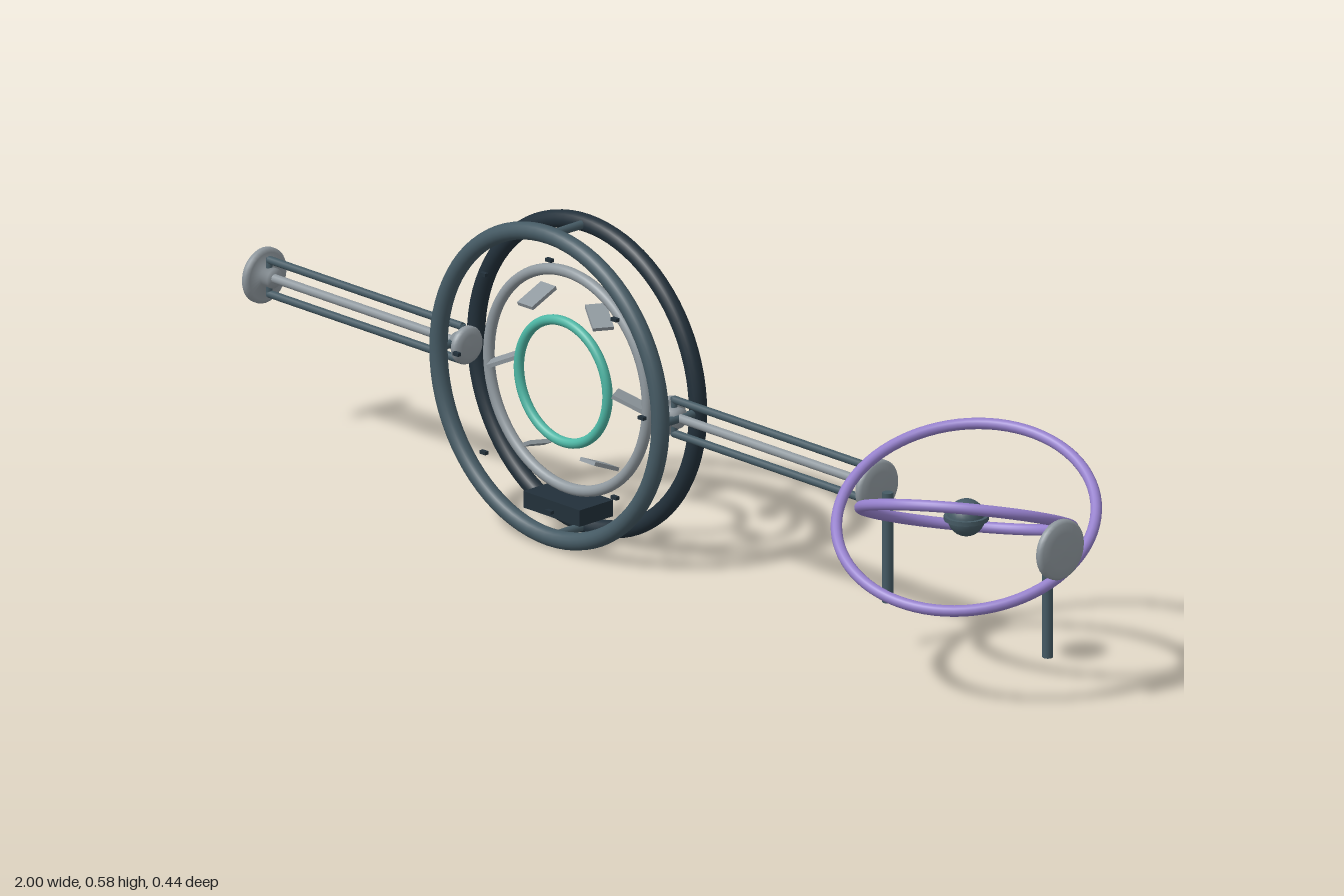
import * as THREE from 'three';

export function createModel() {
  const root = new THREE.Group();
  const mat = (name, color) => {
    const m = new THREE.MeshStandardMaterial({ color });
    m.name = name;
    return m;
  };
  const slate = mat('slate', 0x455a64);
  const dark = mat('dark hull', 0x22303a);
  const gray = mat('light metal', 0x90999f);
  const teal = mat('teal', 0x4db6a4);
  const purple = mat('purple', 0x9580cc);

  const CY = 0.294; // height of the main axis
  const CX = -0.233; // centre of the big wheel
  const OX = 0.755; // centre of the orbit cluster

  const add = (name, geo, material, x, y, z, parent = root) => {
    const m = new THREE.Mesh(geo, material);
    m.name = name;
    m.position.set(x, y, z);
    parent.add(m);
    return m;
  };
  const torus = (R, r) => new THREE.TorusGeometry(R, r, 16, 80);
  const rod = (r, len) => new THREE.CylinderGeometry(r, r, len, 16);

  // Big wheel: front and back rims, inner ring, glowing ring
  add('frontRim', torus(0.2755, 0.0158), slate, CX, CY, 0.045);
  add('backRim', torus(0.2755, 0.0158), dark, CX, CY, -0.045);
  add('innerRing', torus(0.197, 0.01), gray, CX, CY, 0);
  add('coreRing', torus(0.11, 0.009), teal, CX, CY, 0.012);

  // Cross struts joining the two rims
  for (let i = 0; i < 4; i++) {
    const a = (i * Math.PI) / 2;
    add('rimStrut', rod(0.0075, 0.09), slate,
      CX + 0.276 * Math.cos(a), CY + 0.276 * Math.sin(a), 0).rotation.x = Math.PI / 2;
  }

  // Six tilted plates floating around the core ring
  for (let i = 0; i < 6; i++) {
    const a = (i * Math.PI) / 3;
    add('floatingPlate', new THREE.BoxGeometry(0.062, 0.007, 0.037), gray,
      CX + 0.155 * Math.cos(a), CY + 0.155 * Math.sin(a), 0)
      .rotation.set(0, Math.PI / 6 - a, -0.4);
  }

  // Small markers near the front rim
  for (let i = 0; i < 8; i++) {
    const a = (i * Math.PI) / 4;
    add('marker', new THREE.BoxGeometry(0.014, 0.006, 0.008), dark,
      CX + 0.23 * Math.cos(a), CY + 0.23 * Math.sin(a), 0.045);
  }

  // Control box at the foot of the wheel
  add('controlBox', new THREE.BoxGeometry(0.14, 0.03, 0.08), dark, CX, 0.068, 0);

  // Domed docking cap: tip at x, facing dir along the x axis
  const cap = (name, x, r, dir) => {
    const pts = [[0, -0.038], [0.018, -0.038], [0.018, -0.021], [r * 0.85, -0.021],
      [r, -0.016], [r, -0.009], [r * 0.9, -0.004], [r * 0.6, -0.001], [0, 0]];
    const geo = new THREE.LatheGeometry(pts.map(p => new THREE.Vector2(...p)), 32);
    add(name, geo, gray, x, CY, 0).rotation.z = -dir * Math.PI / 2;
  };
  cap('leftwardEndCap', -1, 0.05, -1);
  cap('wheelCap', CX - 0.24, 0.034, 1);
  cap('wheelCap', CX + 0.24, 0.034, -1);
  cap('orbitCap', 0.545, 0.048, 1);
  cap('outerEndCap', 1, 0.054, 1);

  // Arms: a centre tube between two rails
  for (const [x0, x1] of [[-0.975, -0.495], [0.03, 0.515]]) {
    const arm = new THREE.Group();
    arm.name = 'arm';
    root.add(arm);
    for (const [dy, r, m] of [[0.031, 0.007, slate], [0, 0.008, gray], [-0.031, 0.007, slate]]) {
      add('armRail', rod(r, x1 - x0), m, (x0 + x1) / 2, CY + dy, 0, arm).rotation.z = Math.PI / 2;
    }
    for (const x of [x0, x1]) add('armBrace', rod(0.006, 0.07), slate, x, CY, 0, arm);
  }

  // Orbit rings: planes y = a*x + b*z
  const up = new THREE.Vector3(0, 0, 1);
  for (const [R, a, b] of [[0.225, -0.28, -0.42], [0.184, 0.25, 0.38]]) {
    const normal = new THREE.Vector3(-a, 1, -b).normalize();
    add('orbitRing', torus(R, 0.01), purple, OX, CY, 0).quaternion.setFromUnitVectors(up, normal);
  }

  // Core sphere with a thin belt
  add('coreSphere', new THREE.SphereGeometry(0.033, 24, 16), slate, OX, CY, 0);
  add('coreBelt', rod(0.039, 0.008), slate, OX, CY, 0);

  // Hanging posts
  for (const x of [0.56, 0.957]) add('post', rod(0.0095, 0.2), slate, x, 0.19, 0);

  return root;
}
